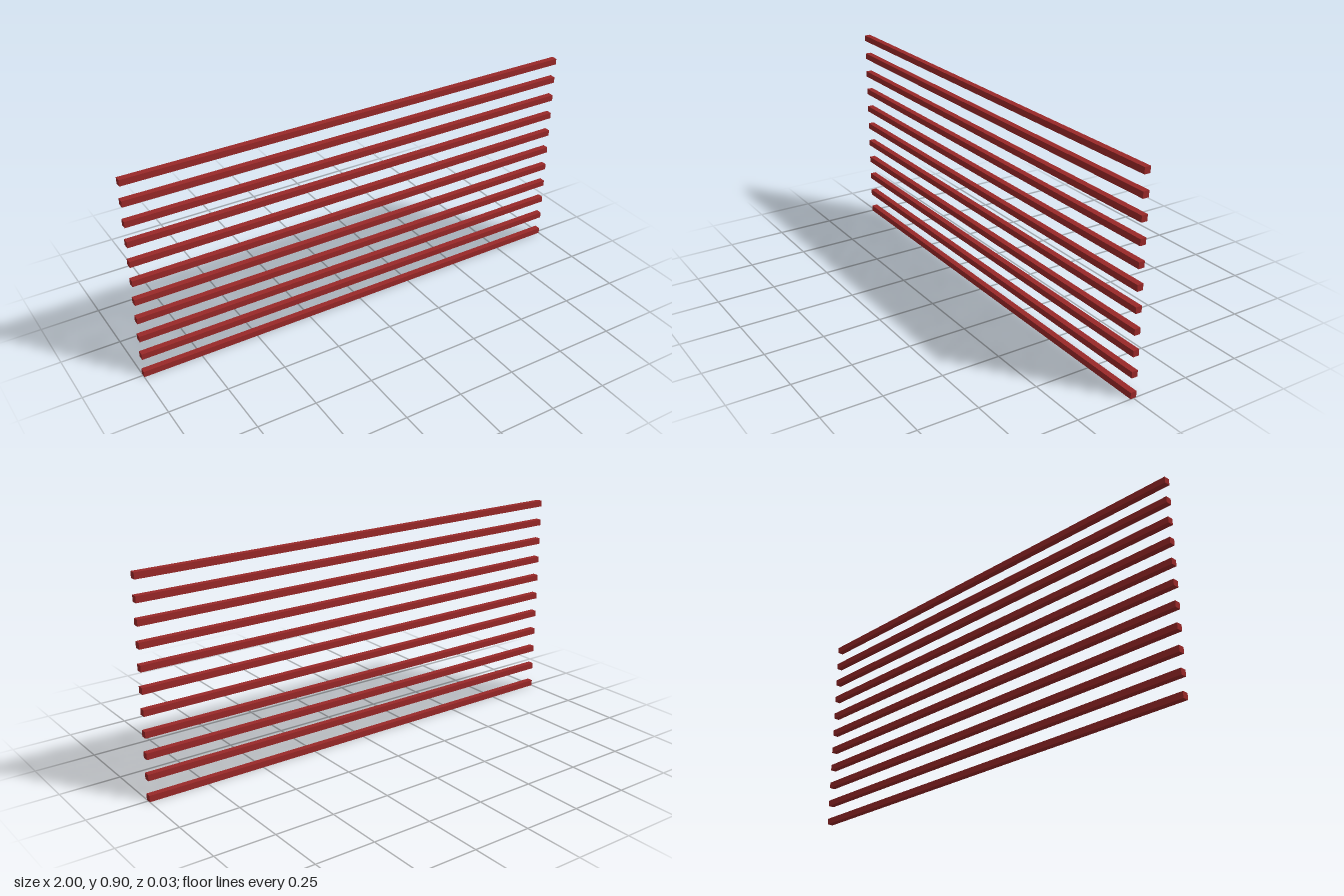
import * as THREE from 'three';

const COUNT = 11;
const LENGTH = 2;
const PITCH = LENGTH / 23; // distance between bar centres
const THICKNESS = 0.026;

export function createModel() {
  const model = new THREE.Group();
  model.name = 'barStack';

  const red = new THREE.MeshStandardMaterial({ color: 0x992828 });
  const barGeometry = new THREE.BoxGeometry(LENGTH, THICKNESS, THICKNESS);

  // Evenly spaced horizontal square bars, the lowest resting on y = 0
  for (let i = 0; i < COUNT; i++) {
    const bar = new THREE.Mesh(barGeometry, red);
    bar.name = `horizontalBar${i + 1}`;
    bar.position.y = THICKNESS / 2 + i * PITCH;
    model.add(bar);
  }

  return model;
}
